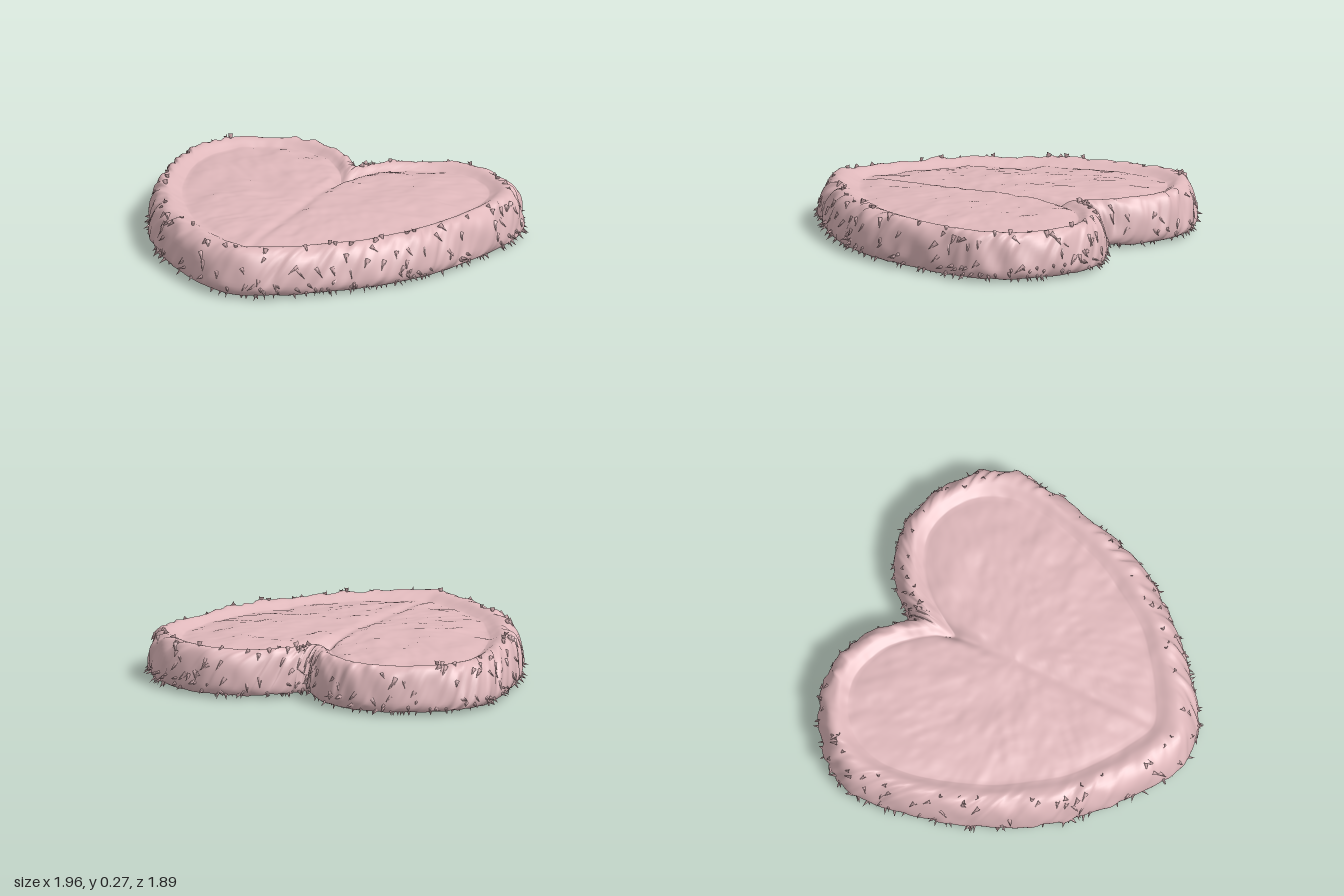
import * as THREE from 'three';
import { mergeGeometries } from 'three/addons/utils/BufferGeometryUtils.js';

const AROUND = 480;
const CENTRE = new THREE.Vector2(0, -0.08);

// Half heart from the notch to the tip: outer x, z and inner (seam) x, z
const HALF = [
  [0, -0.67, 0, -0.42], [0.045, -0.715, 0.05, -0.5], [0.16, -0.83, 0.12, -0.6],
  [0.32, -0.905, 0.25, -0.71], [0.5, -0.915, 0.42, -0.765], [0.7, -0.835, 0.58, -0.73],
  [0.86, -0.71, 0.71, -0.63], [0.945, -0.55, 0.775, -0.48], [0.945, -0.36, 0.775, -0.3],
  [0.895, -0.1, 0.72, -0.08], [0.83, 0.13, 0.65, 0.1], [0.735, 0.33, 0.56, 0.25],
  [0.595, 0.52, 0.44, 0.42], [0.415, 0.695, 0.31, 0.53], [0.21, 0.85, 0.16, 0.63], [0, 0.925, 0, 0.7],
];

// Rim section: 0 = outer edge, 1 = seam; then height
const RIM = [
  [0.72, 0.055], [0.5, 0.038], [0.25, 0.026], [0.07, 0.035], [0, 0.07], [0.04, 0.13],
  [0.13, 0.19], [0.27, 0.232], [0.45, 0.252], [0.65, 0.25], [0.85, 0.233], [1, 0.222],
];

function randomiser(seed) {
  return () => {
    seed = (seed * 1664525 + 1013904223) >>> 0;
    return seed / 4294967296;
  };
}

const hash = (a, b) => {
  const s = Math.sin(a * 127.1 + b * 311.7) * 43758.5453;
  return s - Math.floor(s);
};

// Smooth value noise in -1..1; wrap makes the first axis periodic
function noise(x, y, wrap = 0) {
  const x0 = Math.floor(x), y0 = Math.floor(y);
  const ease = (t) => t * t * (3 - 2 * t);
  const u = ease(x - x0), v = ease(y - y0);
  const at = (a, b) => hash(wrap ? ((a % wrap) + wrap) % wrap : a, b);
  const lo = THREE.MathUtils.lerp(at(x0, y0), at(x0 + 1, y0), u);
  const hi = THREE.MathUtils.lerp(at(x0, y0 + 1), at(x0 + 1, y0 + 1), u);
  return THREE.MathUtils.lerp(lo, hi, v) * 2 - 1;
}

function heartLoop(xi, zi) {
  const right = HALF.map((p) => new THREE.Vector3(p[xi], 0, p[zi]));
  const left = right.slice(1, -1).reverse().map((p) => new THREE.Vector3(-p.x, 0, p.z));
  const curve = new THREE.CatmullRomCurve3([...right, ...left], true);
  return Array.from({ length: AROUND }, (_, i) => curve.getPoint(i / AROUND));
}

export function createModel() {
  const group = new THREE.Group();
  group.name = 'heartCushion';
  const pink = new THREE.MeshStandardMaterial({ color: 0xdfb8bb });
  pink.name = 'dusty pink plush';

  const outer = heartLoop(0, 1), inner = heartLoop(2, 3);

  // Rows run from the middle of the underside, round the rim, to the middle of the top
  const rows = [];
  for (const s of [0, 0.35, 0.7, 0.9]) rows.push({ w: 0.72, s, y: 0.055, fur: 0, top: 0 });
  const rimStart = rows.length;
  const section = new THREE.CatmullRomCurve3(RIM.map(([w, y]) => new THREE.Vector3(w, y, 0)));
  const RIM_ROWS = 34;
  for (let k = 0; k <= RIM_ROWS; k++) {
    const t = k / RIM_ROWS, p = section.getPoint(t);
    rows.push({ w: p.x, s: 1, y: p.y, fur: Math.min(1, t * 5, (1 - t) * 3.5), top: Math.max(0, t * 4 - 3) });
  }
  const rimEnd = rows.length - 1;
  const TOP_ROWS = 32;
  for (let k = 1; k <= TOP_ROWS; k++) {
    const s = 1 - k / TOP_ROWS;
    rows.push({ w: 1, s, y: 0.222 + 0.026 * (1 - s ** 5), fur: 0, top: 1 });
  }

  const position = [];
  rows.forEach((row, j) => {
    for (let i = 0; i < AROUND; i++) {
      const o = outer[i], n = inner[i];
      let x = THREE.MathUtils.lerp(o.x, n.x, row.w), z = THREE.MathUtils.lerp(o.z, n.z, row.w);
      x = CENTRE.x + (x - CENTRE.x) * row.s;
      z = CENTRE.y + (z - CENTRE.y) * row.s;
      let y = row.y;
      // Combed strands on the rim, leaning to one side
      const f = 0.010 * noise(i / 3 + j * 0.25, j / 7, 160) + 0.008 * noise(i / 8 - j * 0.1, j / 9 + 40, 60);
      const away = new THREE.Vector2(o.x - n.x, o.z - n.z).normalize();
      x += away.x * f * row.fur;
      z += away.y * f * row.fur;
      y += f * 0.6 * row.fur;
      // Soft lumps and the middle fold on top
      const fold = 0.012 + 0.022 * THREE.MathUtils.smoothstep(-z, 0.1, 0.45);
      y += row.top * (0.007 * noise(x * 9 + 50, z * 9 + 50) + 0.003 * noise(x * 24 + 90, z * 24 + 90)
        - fold * Math.exp(-((x / 0.035) ** 2)));
      position.push(x, y, z);
    }
  });

  const indexFor = (from, to) => {
    const index = [];
    for (let j = from; j < to; j++) {
      for (let i = 0; i < AROUND; i++) {
        const i2 = (i + 1) % AROUND;
        const a = j * AROUND + i, b = j * AROUND + i2, c = a + AROUND, d = b + AROUND;
        if (rows[j].s > 0) index.push(a, c, b);
        if (rows[j + 1].s > 0) index.push(b, c, d);
        else if (rows[j].s > 0 && j === 0) index.push(b, c, d);
      }
    }
    return index;
  };

  const body = new THREE.BufferGeometry();
  body.setAttribute('position', new THREE.Float32BufferAttribute(position, 3));
  body.setIndex(indexFor(0, rows.length - 1));
  body.computeVertexNormals();

  // Parts share the body's points and normals, so their joins stay smooth
  const addPart = (name, from, to) => {
    const part = body.clone();
    part.setIndex(indexFor(from, to));
    const mesh = new THREE.Mesh(part, pink);
    mesh.name = name;
    group.add(mesh);
  };
  // One normal for all points gathered at each middle
  const normal = body.attributes.normal;
  for (let i = 0; i < AROUND; i++) {
    normal.setXYZ(i, 0, -1, 0);
    normal.setXYZ((rows.length - 1) * AROUND + i, 0, 1, 0);
  }
  addPart('underside', 0, rimStart);
  addPart('plushRim', rimStart, rimEnd);
  addPart('cushionTop', rimEnd, rows.length - 1);

  // Fur tufts poking out of the rim, thickest along the lower edge
  const random = randomiser(7);
  const tufts = [];
  const up = new THREE.Vector3(0, 1, 0);
  for (let k = 0; k < 420; k++) {
    const low = k < 270;
    const j = rimStart + Math.floor(low ? 5 + random() * 9 : 13 + random() * 14);
    const v = j * AROUND + Math.floor(random() * AROUND);
    const base = new THREE.Vector3().fromBufferAttribute(body.attributes.position, v);
    const out = new THREE.Vector3().fromBufferAttribute(normal, v);
    const side = new THREE.Vector3(-out.z, 0, out.x).multiplyScalar((random() - 0.4) * 1.4);
    const dir = out.clone().multiplyScalar(low ? 0.9 : 0.35).add(side);
    dir.y -= low ? 0.25 : 0.6;
    dir.normalize();
    const length = 0.035 + random() * 0.03;
    const cone = new THREE.ConeGeometry(0.009 + random() * 0.007, length, 5, 1, true);
    cone.translate(0, length * 0.12, 0);
    cone.applyQuaternion(new THREE.Quaternion().setFromUnitVectors(up, dir));
    cone.translate(base.x, base.y, base.z);
    const p = cone.attributes.position;
    for (let m = 0; m < p.count; m++) {
      p.setY(m, Math.max(p.getY(m), 0.008));
      p.setX(m, THREE.MathUtils.clamp(p.getX(m), -1, 1));
    }
    tufts.push(cone);
  }
  const fur = new THREE.Mesh(mergeGeometries(tufts), pink);
  fur.name = 'furTufts';
  group.add(fur);

  // Settle the cushion on the ground
  group.position.y = -0.008;
  return group;
}
